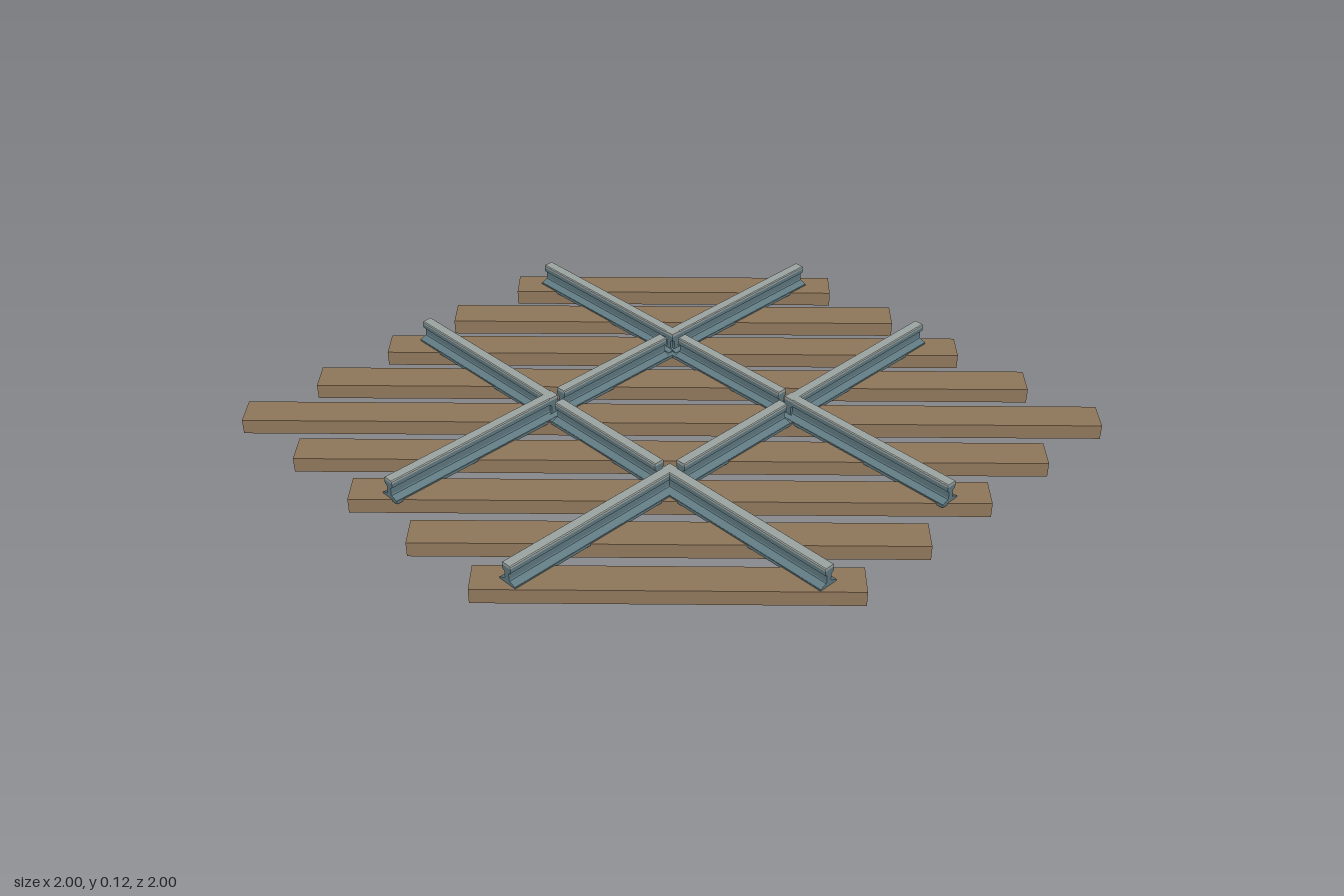
import * as THREE from 'three';

export function createModel() {
  const group = new THREE.Group();
  const mat = (name, color) => new THREE.MeshStandardMaterial({ name, color });
  const wood = mat('wood', 0x8f775b);
  const steel = mat('blueSteel', 0x607a82);
  const polished = mat('wornSteel', 0x9ca5a2);

  // Diagonal ties, shorter towards the two corners
  for (let k = -4; k <= 4; k++) {
    const c = 0.285 * k;
    const length = (1.925 - Math.abs(c)) * Math.SQRT2;
    const tie = new THREE.Mesh(new THREE.BoxGeometry(length, 0.05, 0.106), wood);
    tie.name = 'tie';
    tie.position.set(c / 2, 0.025, c / 2);
    tie.rotation.y = Math.PI / 4;
    group.add(tie);
  }

  // Symmetric cross-section from the points of its right half, bottom to top
  const section = (half) => new THREE.Shape([
    ...half.map(([x, y]) => new THREE.Vector2(x, y)),
    ...half.slice().reverse().map(([x, y]) => new THREE.Vector2(-x, y)),
  ]);
  const bodySection = section([
    [0.033, 0.053], [0.033, 0.055], [0.011, 0.064], [0.009, 0.068],
    [0.009, 0.09], [0.018, 0.096], [0.018, 0.11],
  ]);
  const capSection = section([[0.018, 0.11], [0.018, 0.117], [0.015, 0.12]]);
  const baseSection = section([[0.034, 0.044], [0.034, 0.054]]);

  const addBar = (parent, name, shape, from, to, material) => {
    const geometry = new THREE.ExtrudeGeometry(shape, { depth: to - from, bevelEnabled: false });
    geometry.translate(0, 0, from);
    const bar = new THREE.Mesh(geometry, material);
    bar.name = name;
    parent.add(bar);
  };

  // Each rail has an unbroken foot and three lengths with wheel gaps inside the crossings
  const spans = [[-0.905, -0.254], [-0.227, 0.227], [0.254, 0.905]];
  for (const turn of [0, Math.PI / 2]) {
    for (const side of [-1, 1]) {
      const rail = new THREE.Group();
      rail.name = turn ? 'crossRail' : 'rail';
      addBar(rail, 'railFoot', baseSection, -0.905, 0.905, steel);
      for (const [from, to] of spans) {
        addBar(rail, 'railBody', bodySection, from, to, steel);
        addBar(rail, 'railHead', capSection, from, to, polished);
      }
      rail.rotation.y = turn;
      if (turn) rail.position.z = side * 0.272;
      else rail.position.x = side * 0.272;
      group.add(rail);
    }
  }
  return group;
}
